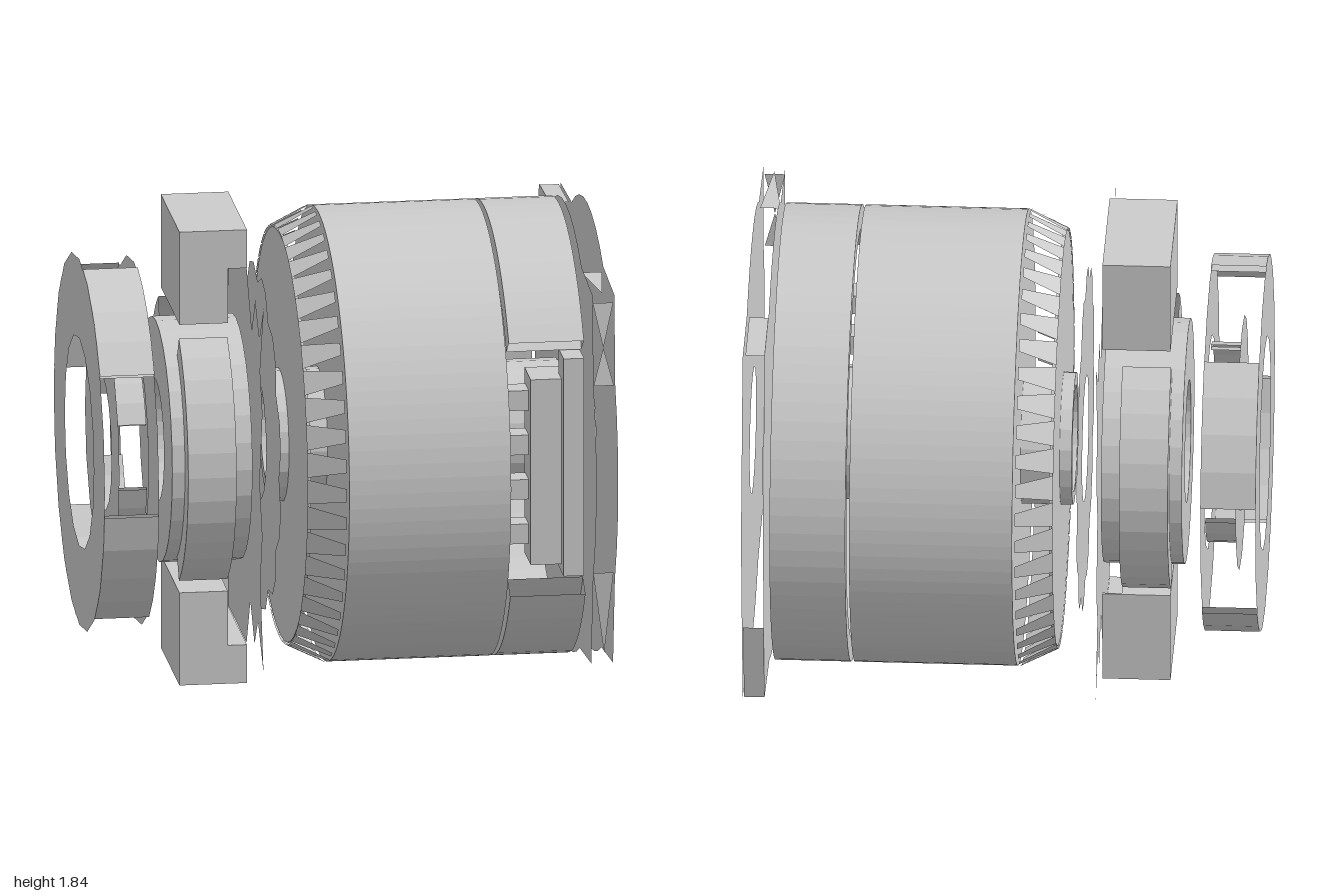
import * as THREE from 'three';

const CY = 0.92; // height of the shaft axis, which runs along x

export function createModel() {
  const root = new THREE.Group();
  const mat = new THREE.MeshStandardMaterial({ color: 0xcccccc, flatShading: true, side: THREE.DoubleSide });

  const add = (name, geo) => {
    const m = new THREE.Mesh(geo, mat);
    m.name = name;
    root.add(m);
    return m;
  };

  // Solid ring around the x axis; angle 0 is +z and rises toward the bottom
  const ring = (name, x0, x1, rIn, rOut, segs = 72, start = 0, len = Math.PI * 2) => {
    const profile = [[rIn, x0], [rOut, x0], [rOut, x1], [rIn, x1], [rIn, x0]];
    const geo = new THREE.LatheGeometry(profile.map(p => new THREE.Vector2(...p)), segs, start, len);
    geo.rotateZ(-Math.PI / 2);
    geo.translate(0, CY, 0);
    return add(name, geo);
  };

  const box = (name, x0, x1, y0, y1, z0, z1) => {
    const geo = new THREE.BoxGeometry(x1 - x0, y1 - y0, z1 - z0);
    geo.translate((x0 + x1) / 2, (y0 + y1) / 2, (z0 + z1) / 2);
    return add(name, geo);
  };

  // Thin sheet across the axis, outline given as (-z, y - CY)
  const sheet = (name, x, outline, holeR) => {
    const shape = new THREE.Shape(outline.map(p => new THREE.Vector2(...p)));
    shape.holes.push(new THREE.Path().absarc(0, 0, holeR, 0, Math.PI * 2, true));
    const geo = new THREE.ShapeGeometry(shape, 8);
    geo.rotateY(Math.PI / 2);
    geo.translate(x, CY, 0);
    return add(name, geo);
  };

  const facets = (name, points, index) => {
    const geo = new THREE.BufferGeometry();
    geo.setAttribute('position', new THREE.Float32BufferAttribute(points.flat(), 3));
    geo.setIndex(index);
    geo.computeVertexNormals();
    return add(name, geo);
  };

  // Closed outline whose radius follows a rule of the point number
  const outline = (n, radius) => Array.from({ length: n }, (_, i) => {
    const a = i / n * Math.PI * 2;
    return [radius(i) * Math.cos(a), radius(i) * Math.sin(a)];
  });

  // Main drum with the central sleeve
  ring('drum', -0.06, 0.575, 0.26, 0.89, 96);
  ring('sleeve', -0.26, 0.88, 0.21, 0.26, 20);

  // Bevelled crown of separate tapering teeth
  ring('crownFace', -0.212, -0.2, 0.26, 0.81, 48);
  const teeth = 48, pts = [], idx = [];
  for (let i = 0; i < teeth; i++) {
    const a = (i / teeth) * Math.PI * 2, step = Math.PI / teeth;
    for (const [x, r, k] of [[-0.215, 0.82, 0.92], [-0.07, 0.89, 0.45]])
      for (const s of [-1, 1]) {
        const b = a + s * k * step;
        pts.push([x, CY + r * Math.sin(b), r * Math.cos(b)]);
      }
    const o = i * 4;
    idx.push(o, o + 1, o + 2, o + 1, o + 3, o + 2);
  }
  facets('crownTeeth', pts, idx);

  // Open collar with a window toward the front
  ring('collar', 0.59, 0.885, 0.8, 0.89, 60, 0.56, Math.PI * 2 - 1.21);

  // Terminal block inside the window
  box('terminalBlock', 0.68, 0.86, 0.55, 1.3, 0.5, 0.68);
  box('terminalCover', 0.8, 0.88, 0.52, 1.4, 0.6, 0.75);
  for (let i = 0; i < 4; i++) box('terminal', 0.6, 0.68, 0.62 + i * 0.18, 0.7 + i * 0.18, 0.52, 0.62);

  // End cover: two rounded-square sheets with partial side walls
  const arc = (a0, a1, n) => Array.from({ length: n + 1 }, (_, i) => {
    const a = THREE.MathUtils.degToRad(a0 + (a1 - a0) * i / n);
    return [0.89 * Math.cos(a), 0.89 * Math.sin(a)];
  });
  const cover = [
    ...arc(121, 59, 8), [0.78, 0.75], [0.84, 0.38],
    ...arc(15, -15, 4), [0.84, -0.4], [0.77, -0.76],
    ...arc(-63, -117, 8), [-0.74, -0.76], [-0.79, -0.42],
    ...arc(-154, -206, 6), [-0.78, 0.74],
  ];
  sheet('innerCover', 0.91, cover, 0.27);
  sheet('outerCover', 0.995, cover, 0.25);
  facets('coverSideWalls', [
    [0.91, 1.63, 0.78], [0.99, 1.63, 0.78], [0.95, 1.45, 0.79],
    [0.91, 1.3, 0.8], [0.99, 1.3, 0.8],
    [0.91, 0.54, 0.79], [0.99, 0.54, 0.79], [0.96, 0.2, 0.74],
    [0.91, 1.67, -0.76], [0.985, 1.67, -0.76], [0.985, 1.68, -0.47], [0.91, 1.68, -0.47],
    [0.91, 1.66, 0.45], [0.99, 1.66, 0.45], [0.95, 1.66, 0.75],
    [0.91, 0.16, -0.77], [0.99, 0.16, -0.77], [0.99, 0.5, -0.83], [0.91, 0.5, -0.83],
  ], [0, 2, 1, 3, 4, 2, 5, 7, 6, 8, 11, 10, 8, 10, 9, 12, 14, 13, 15, 17, 16, 15, 18, 17]);

  // Ragged round shield, and a ragged square partition behind the hub
  sheet('shield', -0.3, outline(36, i => i % 3 ? 0.68 : 0.62), 0.25);
  sheet('partition', -0.38, [
    [-0.77, 0.74], [-0.64, 0.58], [-0.52, 0.7], [-0.42, 0.55], [-0.27, 0.76], [0.26, 0.76],
    [0.4, 0.56], [0.5, 0.7], [0.6, 0.58], [0.75, 0.72], [0.66, 0.4], [0.72, 0.2], [0.64, 0],
    [0.72, -0.3], [0.64, -0.45], [0.77, -0.74], [0.6, -0.6], [0.5, -0.72], [0.38, -0.56],
    [0.26, -0.76], [-0.27, -0.76], [-0.38, -0.56], [-0.5, -0.7], [-0.6, -0.58], [-0.76, -0.74],
    [-0.67, -0.4], [-0.73, -0.2], [-0.65, 0], [-0.73, 0.3], [-0.66, 0.45],
  ], 0.24);

  // Bearing hub with a raised belt on the front and back
  ring('bearingHub', -0.7, -0.385, 0.24, 0.48, 28);
  for (const mid of [0, Math.PI])
    ring('hubBelt', -0.65, -0.46, 0.46, 0.575, 12, mid - 1.02, 2.04);

  // Mounting blocks above and below the hub, recessed toward the front
  for (const s of [1, -1]) {
    const block = (name, x0, x1, a, b, z1) => {
      const lo = s > 0 ? a : 1.835 - b, hi = s > 0 ? b : 1.835 - a;
      box(name, x0, x1, lo, hi, -0.26, z1);
    };
    block('mountingBlock', -0.645, -0.38, 1.68, 1.835, 0.28);
    block('mountingBlockStep', -0.645, -0.455, 1.46, 1.68, 0.28);
    block('mountingBlockBack', -0.455, -0.38, 1.46, 1.68, -0.25);
  }

  // Outer end ring: thin faces and a web joined by curved wall segments
  sheet('endRingFace', -1, outline(20, () => 0.74), 0.42);
  sheet('endRingWeb', -0.91, outline(16, () => 0.5), 0.27);
  sheet('endRingBack', -0.785, outline(20, () => 0.72), 0.42);
  for (let q = 0; q < 4; q++) {
    const start = q * Math.PI / 2 + 0.14;
    ring('endRingWall', -1, -0.785, 0.71, 0.735, 4, start, 0.8);
    ring('endRingInnerWall', -0.91, -0.785, 0.37, 0.39, 4, start + 0.1, 0.9);
  }
  return root;
}
